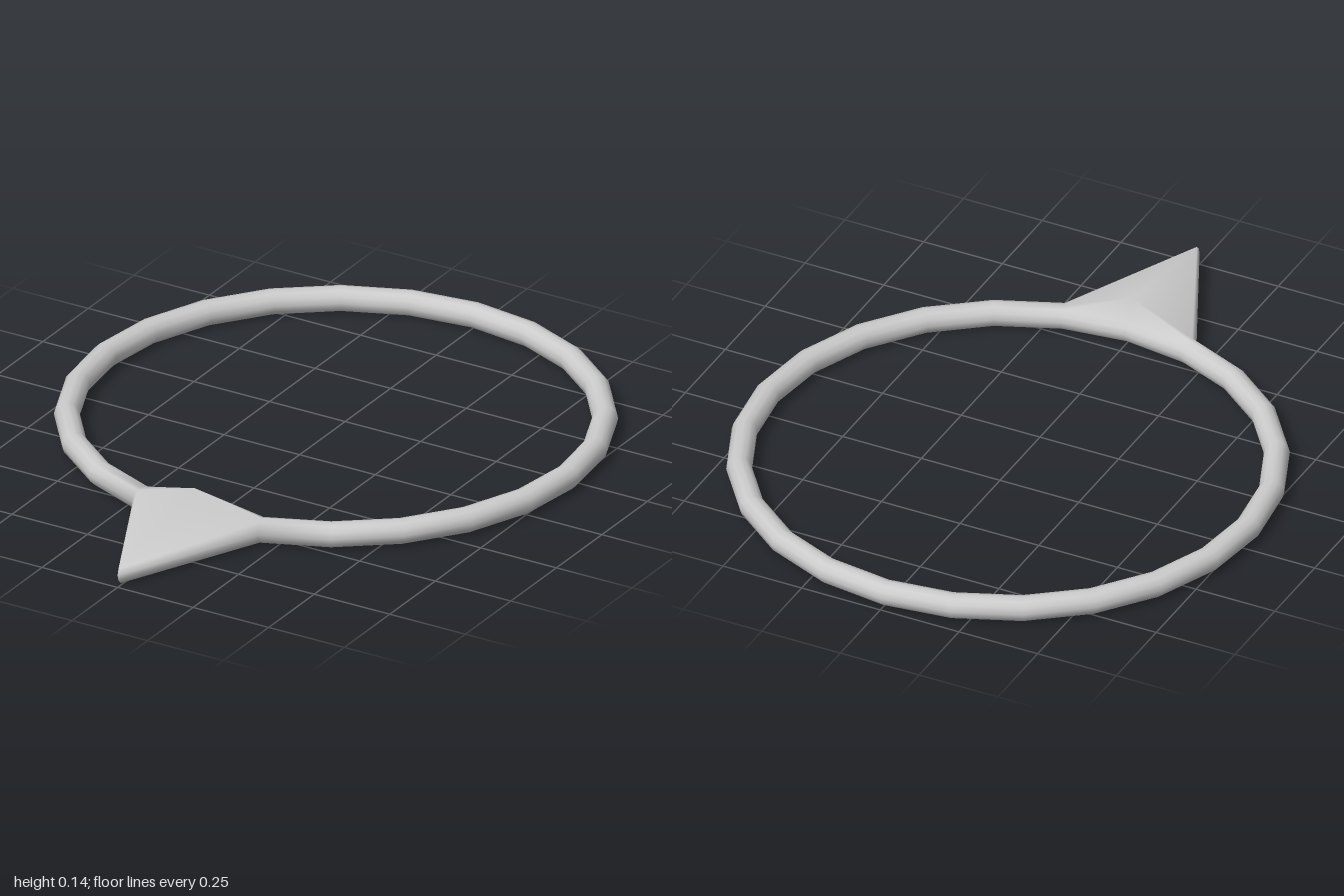
import * as THREE from 'three';
import { mergeVertices } from 'three/addons/utils/BufferGeometryUtils.js';

const RADIUS = 0.763, TUBE = 0.037, CENTER_Y = 0.038, CENTER_Z = -0.2;

// Faceted hoop whose front cross-section is drawn out into a ridged point
function pointedRing() {
  const torus = new THREE.TorusGeometry(RADIUS, TUBE, 12, 24);
  torus.rotateX(-Math.PI / 2);
  torus.deleteAttribute('uv');
  torus.deleteAttribute('normal');
  const geometry = mergeVertices(torus, 1e-4);
  const pos = geometry.attributes.position;

  for (let i = 0; i < pos.count; i++) {
    const x = pos.getX(i), y = pos.getY(i), z = pos.getZ(i);
    if (Math.abs(x) > 0.01 || z < 0) continue;
    const outward = z - RADIUS;
    if (outward > 0.01) {
      pos.setZ(i, z + 0.4); // outer side becomes the tip
    } else if (Math.abs(outward) < 0.005) {
      if (y > 0) pos.setXYZ(i, x, 0.135 - CENTER_Y, z + 0.012); // raised ridge
      else pos.setY(i, -CENTER_Y); // underside
    }
  }
  geometry.translate(0, CENTER_Y, CENTER_Z);
  geometry.computeVertexNormals();
  return geometry;
}

export function createModel() {
  const group = new THREE.Group();
  const material = new THREE.MeshStandardMaterial({ color: 0xcccccc });
  const ring = new THREE.Mesh(pointedRing(), material);
  ring.name = 'pointedRing';
  group.add(ring);
  return group;
}
